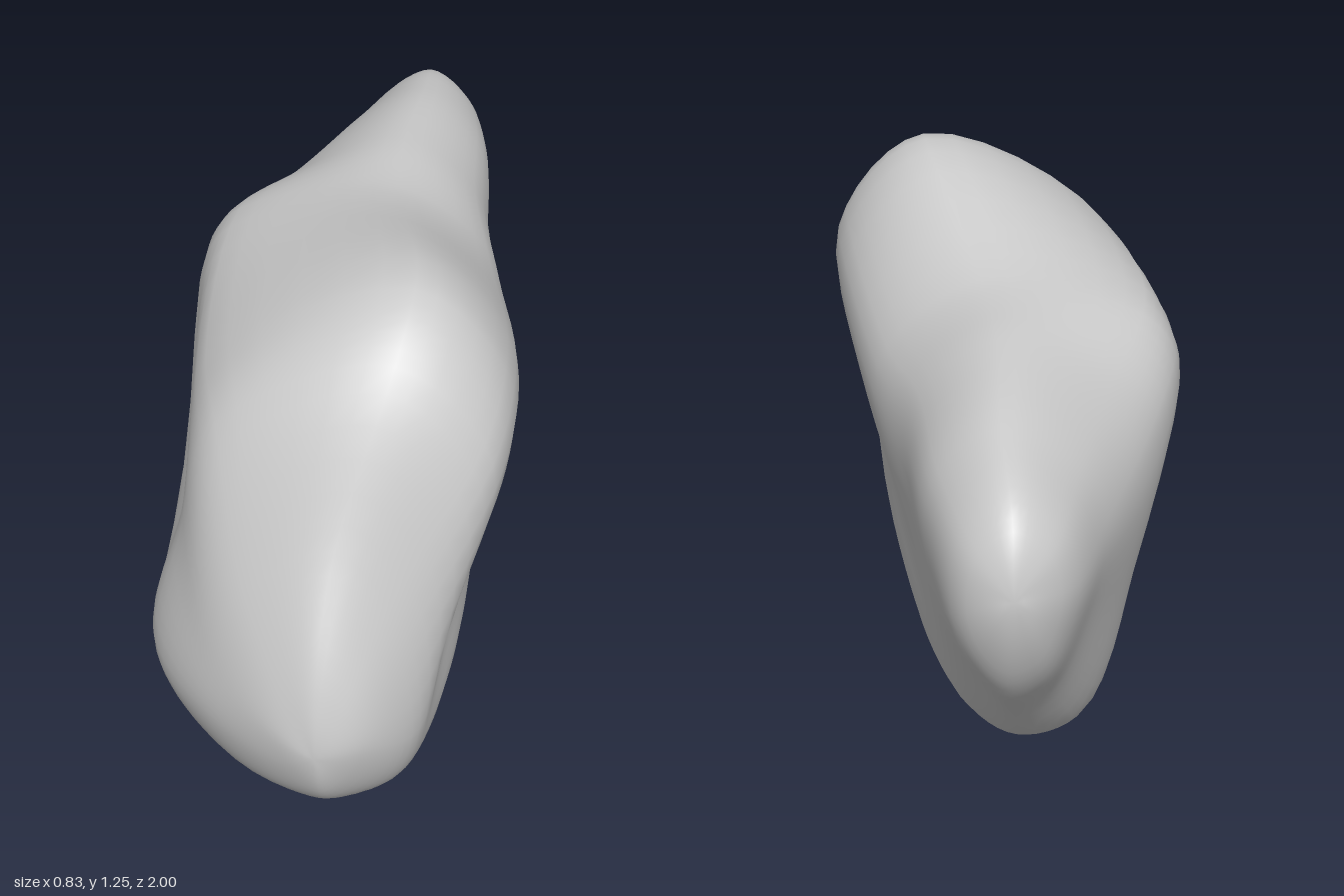
import * as THREE from 'three';

// Depths of the cross-sections, front to back
const DEPTHS = [0.96, 0.82, 0.62, 0.42, -0.1, -0.38, -0.7, -0.93];

// Outline of each cross-section as x,y pairs: bottom, lower right, right,
// upper right, top, upper left, left, lower left, bottom left
const OUTLINES = [
  [0.06, 0.2, 0.12, 0.26, 0.155, 0.36, 0.12, 0.47, 0.05, 0.53, -0.02, 0.47, -0.06, 0.39, -0.05, 0.3, 0, 0.23],
  [0.07, 0.07, 0.2, 0.13, 0.26, 0.3, 0.21, 0.62, 0.07, 0.79, -0.13, 0.65, -0.22, 0.45, -0.24, 0.28, -0.14, 0.12],
  [0.1, 0, 0.25, 0.09, 0.3, 0.45, 0.385, 0.91, 0.17, 1.145, -0.22, 0.95, -0.315, 0.62, -0.385, 0.26, -0.26, 0.07],
  [0.08, 0.015, 0.265, 0.13, 0.34, 0.56, 0.41, 1, 0.19, 1.243, -0.28, 0.98, -0.325, 0.65, -0.405, 0.27, -0.29, 0.065],
  [0.06, 0.055, 0.21, 0.12, 0.265, 0.45, 0.325, 0.9, 0.08, 1.112, -0.3, 1.04, -0.385, 0.9, -0.32, 0.5, -0.2, 0.1],
  [0.02, 0.035, 0.15, 0.14, 0.225, 0.45, 0.255, 0.93, 0.06, 1.1, -0.2, 0.99, -0.3, 0.84, -0.25, 0.45, -0.14, 0.08],
  [0.04, 0.325, 0.13, 0.42, 0.21, 0.62, 0.22, 0.93, 0.07, 1.06, -0.1, 0.96, -0.165, 0.8, -0.13, 0.58, -0.05, 0.38],
  [0.07, 0.57, 0.13, 0.63, 0.17, 0.75, 0.15, 0.9, 0.06, 0.98, -0.03, 0.91, -0.06, 0.8, -0.045, 0.7, 0, 0.6],
];
const FRONT = new THREE.Vector3(0.05, 0.35, 1);
const BACK = new THREE.Vector3(0.06, 0.82, -1);
const AROUND = 54;
const ALONG = 54;

// Smooth closed ring of points through one cross-section
function ring(xy, section) {
  const pts = [];
  for (let i = 0; i < xy.length; i += 2) pts.push(new THREE.Vector3(xy[i], xy[i + 1], DEPTHS[section]));
  const curve = new THREE.CatmullRomCurve3(pts, true, 'centripetal');
  return Array.from({ length: AROUND }, (_, j) => curve.getPoint(j / AROUND));
}

function stoneGeometry() {
  const rings = OUTLINES.map(ring);

  // Each lengthwise curve joins its opposite one over the ends, so the tips are round
  const columns = Array.from({ length: AROUND }, (_, j) => {
    const near = rings.map((r) => r[j]);
    const far = rings.map((r) => r[(j + AROUND / 2) % AROUND]).reverse();
    return new THREE.CatmullRomCurve3([FRONT, ...near, BACK, ...far], true, 'centripetal');
  });

  const positions = [...FRONT.toArray()];
  for (let i = 1; i < ALONG; i++) {
    for (const column of columns) positions.push(...column.getPoint((0.5 * i) / ALONG).toArray());
  }
  positions.push(...BACK.toArray());

  const last = positions.length / 3 - 1;
  const at = (i, j) => 1 + i * AROUND + (j % AROUND);
  const index = [];
  for (let j = 0; j < AROUND; j++) {
    index.push(0, at(0, j), at(0, j + 1));
    for (let i = 0; i < ALONG - 2; i++) {
      const a = at(i, j), b = at(i, j + 1), c = at(i + 1, j), d = at(i + 1, j + 1);
      index.push(a, c, b, b, c, d);
    }
    index.push(last, at(ALONG - 2, j + 1), at(ALONG - 2, j));
  }

  const geometry = new THREE.BufferGeometry();
  geometry.setAttribute('position', new THREE.Float32BufferAttribute(positions, 3));
  geometry.setIndex(index);
  geometry.computeVertexNormals();
  return geometry;
}

export function createModel() {
  const group = new THREE.Group();
  group.name = 'rock';
  const stone = new THREE.Mesh(stoneGeometry(), new THREE.MeshStandardMaterial({ color: 0xcccccc }));
  stone.name = 'stone';
  group.add(stone);
  return group;
}
